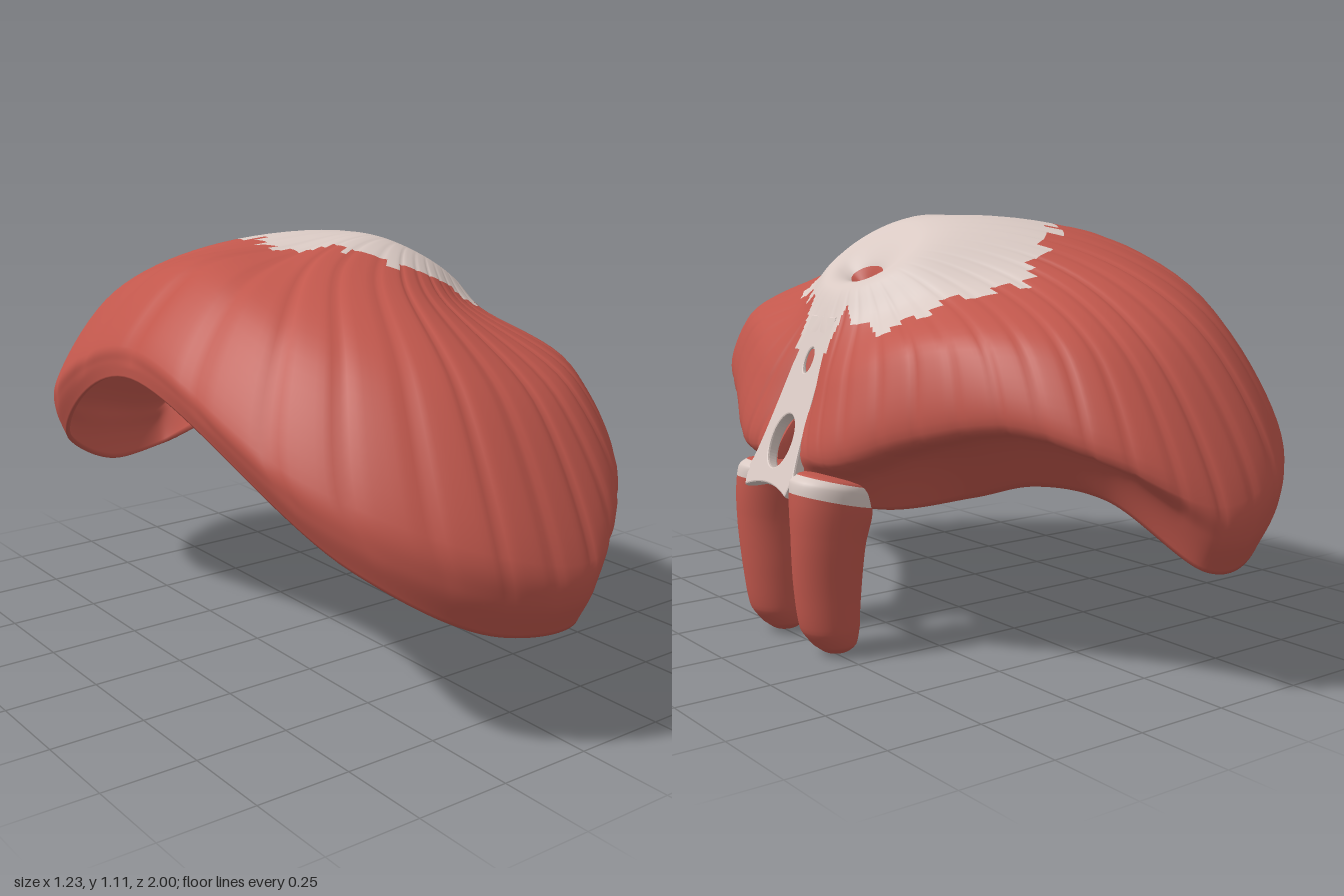
import * as THREE from 'three';
import { mergeVertices } from 'three/addons/utils/BufferGeometryUtils.js';

const muscle = new THREE.MeshStandardMaterial({ color: 0xc1574c, side: THREE.DoubleSide });
muscle.name = 'muscle red';
const tendon = new THREE.MeshStandardMaterial({ color: 0xd9c9c3, side: THREE.DoubleSide });
tendon.name = 'tendon cream';

const V = (x, y, z) => new THREE.Vector3(x, y, z);

// Smooth grid of (nu+1) x (nv+1) points; isPale(centre, i, j) sorts quads into two colour groups
function grid(nu, nv, point, isPale = () => false) {
  const pos = [], red = [], pale = [];
  for (let i = 0; i <= nu; i++) for (let j = 0; j <= nv; j++) pos.push(...point(i, j).toArray());
  for (let i = 0; i < nu; i++) for (let j = 0; j < nv; j++) {
    const a = i * (nv + 1) + j, b = a + nv + 1, c = b + 1, d = a + 1;
    const mid = V((pos[a * 3] + pos[c * 3]) / 2, (pos[a * 3 + 1] + pos[c * 3 + 1]) / 2, (pos[a * 3 + 2] + pos[c * 3 + 2]) / 2);
    (isPale(mid, i, j) ? pale : red).push(a, b, c, a, c, d);
  }
  const g = new THREE.BufferGeometry();
  g.setAttribute('position', new THREE.Float32BufferAttribute(pos, 3));
  g.setIndex([...red, ...pale]);
  g.addGroup(0, red.length, 0);
  g.addGroup(red.length, pale.length, 1);
  g.computeVertexNormals();
  return g;
}

// Rings of the dome, from the spine (+x) round the left side to the breastbone (-x)
const shoulder = [[.44, .845, 0], [.425, .85, .1], [.37, .87, .21], [.28, .92, .3], [.16, .955, .37],
  [.04, .99, .42], [-.08, 1.03, .4], [-.19, 1.075, .23], [-.15, 1.083, 0]];
const flank = [[.485, .7, 0], [.515, .69, .16], [.44, .78, .37], [.34, .81, .57], [.2, .81, .72],
  [.03, .8, .78], [-.2, .85, .72], [-.41, .93, .46], [-.43, 1.05, 0]];
const ridge = [[.57, .52, .07], [.555, .51, .21], [.46, .58, .42], [.35, .63, .66], [.22, .57, .86],
  [.02, .47, .99], [-.25, .52, .93], [-.53, .66, .61], [-.612, .87, 0]];
const lip = [[.58, .42, .08], [.39, .375, .22], [.2, .4, .33], [.14, .45, .5], [.08, .44, .69],
  [.01, .31, .95], [-.2, .305, .9], [-.46, .46, .7], [-.615, .79, 0]];
// Between ridge and lip: hollow below the arch of each side, rounded outward elsewhere
const lift = [0, .3, 1, 1, .8, .1, 0, 0, 0];
const swell = [1, 1, 1, 1, 1, 1.02, 1.025, 1.025, 1.005];
const under = ridge.map((p, i) => {
  const m = V(...p).lerp(V(...lip[i]), .5);
  return [m.x * swell[i], m.y + .05 * lift[i], m.z * swell[i]];
});

function ringCurve(half) {
  const pts = half.map(p => V(...p));
  for (let i = 7; i >= 0; i--) pts.push(V(half[i][0], half[i][1], -half[i][2]));
  return new THREE.CatmullRomCurve3(pts);
}
const oval = (cx, rx, rz, y, tilt) => Array.from({ length: 9 }, (_, i) => {
  const a = Math.PI * i / 8;
  return [cx + rx * Math.cos(a), y - tilt * Math.cos(a), rz * Math.sin(a)];
});

function dome() {
  const NU = 320, NV = 63, THICK = 0.035;
  // The first two rings are the floor and the mouth of the vein opening
  const rings = [oval(.29, 0, 0, .9, 0), oval(.3, .04, .08, .965, .03), oval(.265, .125, .155, 1.01, .085),
    shoulder, flank, ridge, under, lip].map(ringCurve);
  const spokes = [];
  for (let i = 0; i <= NU; i++)
    spokes.push(new THREE.CatmullRomCurve3(rings.map(r => r.getPoint(i / NU))).getPoints(NV));
  const n = grid(NU, NV, (i, j) => spokes[i][j]).attributes.normal;
  const normal = (i, j) => new THREE.Vector3().fromBufferAttribute(n, i * (NV + 1) + j);

  // Outer skin with shallow fibre grooves, then the inner skin, thinning to the rim
  const point = (i, k) => {
    const outer = k <= NV, j = outer ? k : 2 * NV + 1 - k;
    const fade = Math.sin(Math.PI * THREE.MathUtils.clamp((j / NV - .3) / .6, 0, 1));
    const front = .4 + .6 * Math.sin(Math.PI * i / NU) ** 4;
    const groove = -.011 * front * fade * Math.pow(1 - Math.abs(Math.sin(Math.PI * 38 * i / NU)), 3);
    const inner = -THICK * (1 - .65 * THREE.MathUtils.smoothstep(j / NV, .8, 1));
    return spokes[i][j].clone().addScaledVector(normal(i, j), outer ? groove : inner);
  };
  // Ragged edge of the central tendon, and its root under the spine strip
  const isPale = (p, i, j) => {
    if (j >= NV || j < 7 || p.y < .76) return false;
    if (p.x > .35 && Math.abs(p.z) < .075) return true;
    const a = Math.atan2(p.z + .04, p.x - .14);
    const rag = 1 + .05 * Math.sin(7 * a) + .04 * Math.sin(19 * a + 1);
    return Math.hypot((p.x - .14) / .3, (p.z + .04) / .37) < rag;
  };
  return grid(NU, 2 * NV + 1, point, isPale);
}

// Tendon strip down the spine side, with gullet and artery openings
function strip() {
  const s = new THREE.Shape();
  s.moveTo(-.1, -.01);
  s.quadraticCurveTo(0, .03, .1, -.01);
  s.lineTo(.11, .035);
  s.bezierCurveTo(.085, .08, .07, .3, .055, .455);
  s.lineTo(-.055, .455);
  s.bezierCurveTo(-.07, .3, -.085, .08, -.11, .035);
  for (const [y, rx, ry] of [[.12, .053, .075], [.337, .022, .038]])
    s.holes.push(new THREE.Path().absellipse(0, y, rx, ry, 0, Math.PI * 2));
  const g = new THREE.ExtrudeGeometry(s, { depth: .02, bevelEnabled: true, bevelSize: .004, bevelThickness: .006, bevelSegments: 2, curveSegments: 24 });
  const m = new THREE.Matrix4().makeBasis(V(0, 0, -1), V(-.391, .92, 0), V(.92, .391, 0));
  return g.applyMatrix4(m.setPosition(.59, .42, 0));
}

// Leg cross-sections: y, centre x, half width x, centre z, half width z
const legRows = [[0, .49, .001, .13, .001], [.004, .49, .03, .13, .03], [.025, .495, .055, .13, .06],
  [.07, .508, .077, .13, .073], [.18, .515, .09, .133, .077], [.3, .515, .1, .14, .08],
  [.38, .505, .11, .137, .09], [.43, .5, .108, .13, .097], [.455, .49, .09, .125, .09],
  [.464, .49, .05, .12, .05], [.465, .49, .001, .12, .001]];

// Leg with a slanting tendon band round its top
function leg(side) {
  const mid = new THREE.CatmullRomCurve3(legRows.map(r => V(r[0], r[1], r[3])));
  const size = new THREE.CatmullRomCurve3(legRows.map(r => V(r[2], r[4], 0)));
  const slant = (x, y) => .26 * (x - .5) * THREE.MathUtils.smoothstep(y, .1, .4);
  const g = grid(32, 80, (i, j) => {
    const a = i / 32 * Math.PI * 2, c = mid.getPoint(j / 80), r = size.getPoint(j / 80);
    const x = c.y + r.x * Math.cos(a);
    return V(x, Math.max(0, c.x) + slant(x, c.x), side * c.z - r.y * Math.sin(a));
  }, p => Math.abs(p.y - slant(p.x, .5) - .425) < .026);
  const merged = mergeVertices(g.deleteAttribute('normal'));
  merged.computeVertexNormals();
  return merged;
}

export function createModel() {
  const group = new THREE.Group();
  const add = (name, geometry, material) => {
    const mesh = new THREE.Mesh(geometry, material);
    mesh.name = name;
    group.add(mesh);
  };
  add('dome', dome(), [muscle, tendon]);
  add('spineStrip', strip(), tendon);
  add('leftLeg', leg(1), [muscle, tendon]);
  add('rightLeg', leg(-1), [muscle, tendon]);
  return group;
}
